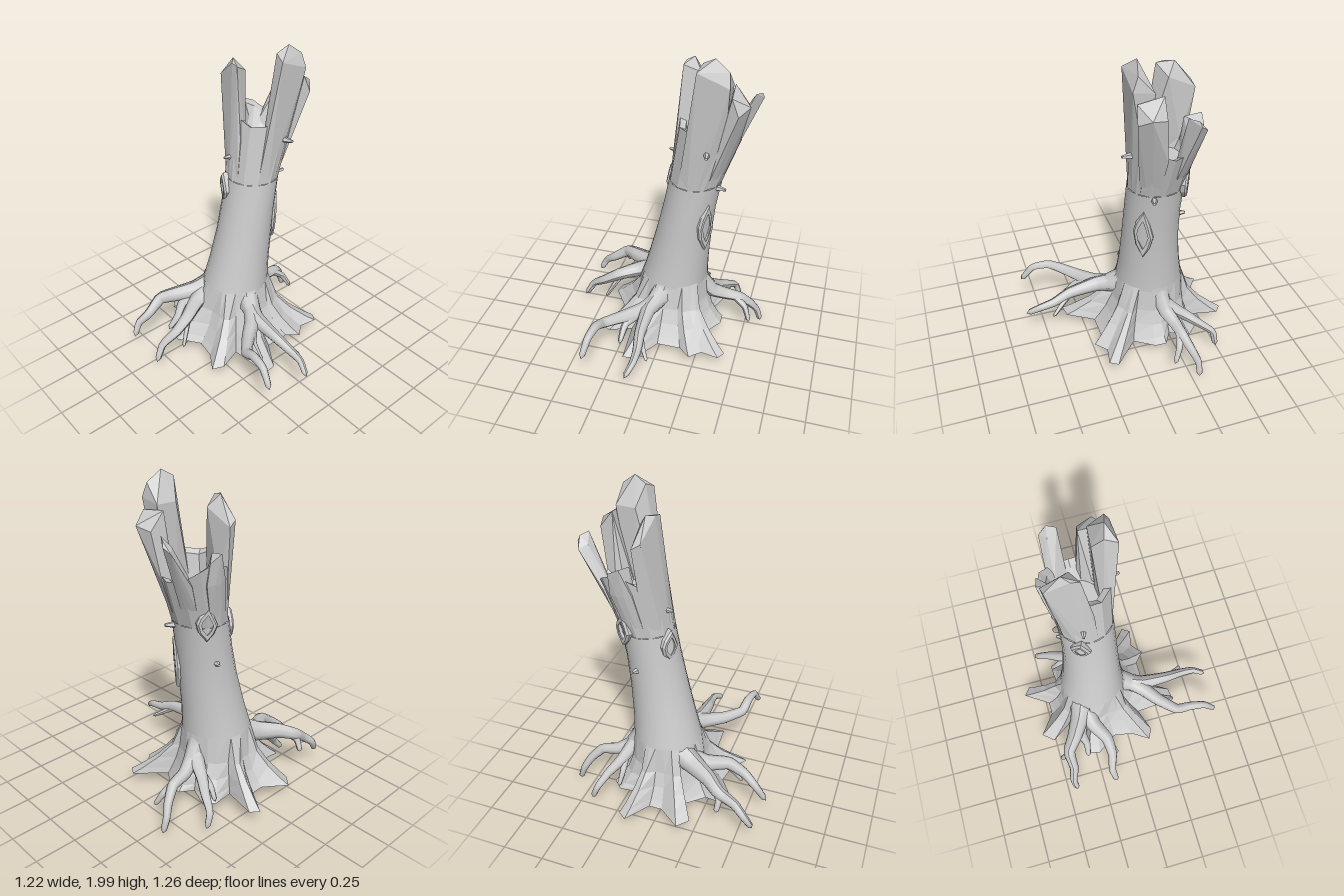
import * as THREE from 'three';
import { ConvexGeometry } from 'three/addons/geometries/ConvexGeometry.js';

const smooth = new THREE.MeshStandardMaterial({ color: 0xcccccc, side: THREE.DoubleSide });
const faceted = new THREE.MeshStandardMaterial({ color: 0xcccccc, side: THREE.DoubleSide, flatShading: true });
const V = (x, y, z) => new THREE.Vector3(x, y, z);

// Trunk outline by height: y, left x, right x, front z, back z
const TRUNK = [
  [0.1, -0.2, 0.25, 0.09, -0.38], [0.45, -0.175, 0.245, 0.05, -0.365], [0.6, -0.13, 0.25, 0.037, -0.335],
  [0.8, -0.078, 0.265, 0.032, -0.312], [1.0, -0.033, 0.285, 0.028, -0.305], [1.18, 0, 0.315, 0.025, -0.31],
  [1.45, 0.035, 0.41, 0.038, -0.355], [1.62, 0.06, 0.45, 0.05, -0.37],
];

// Point on the trunk surface at a height and angle (0 = +x, 90 degrees = +z)
function trunkAt(y, angle, scale = 1) {
  let i = 0;
  while (i < TRUNK.length - 2 && y > TRUNK[i + 1][0]) i++;
  const [p, q] = [TRUNK[i], TRUNK[i + 1]];
  const t = (y - p[0]) / (q[0] - p[0]);
  const [, x0, x1, z0, z1] = p.map((v, k) => v + (q[k] - v) * t);
  return V((x0 + x1) / 2 + Math.cos(angle) * scale * (x1 - x0) / 2, y,
    (z0 + z1) / 2 + Math.sin(angle) * scale * (z0 - z1) / 2);
}

// Skin a stack of equal rings, optionally closing the top
function loft(name, rings, material, capTop) {
  const n = rings[0].length, pts = rings.flat(), index = [];
  for (let r = 0; r < rings.length - 1; r++) {
    for (let j = 0; j < n; j++) {
      const a = r * n + j, b = r * n + (j + 1) % n;
      index.push(a, a + n, b, b, a + n, b + n);
    }
  }
  if (capTop) {
    const c = pts.length, start = c - n;
    pts.push(rings.at(-1).reduce((s, p) => s.add(p), V(0, 0, 0)).divideScalar(n));
    for (let j = 0; j < n; j++) index.push(c, start + (j + 1) % n, start + j);
  }
  const g = new THREE.BufferGeometry().setFromPoints(pts);
  g.setIndex(index);
  g.computeVertexNormals();
  const mesh = new THREE.Mesh(g, material);
  mesh.name = name;
  return mesh;
}

// Tapering, gnarled limb through a few points
function limb(name, points, r0, r1) {
  const curve = new THREE.CatmullRomCurve3(points.map(p => V(...p)), false, 'catmullrom', 0.2);
  const seg = points.length * 4, sides = 8;
  const g = new THREE.TubeGeometry(curve, seg, 1, sides);
  const pos = g.attributes.position, v = V(0, 0, 0);
  for (let i = 0; i <= seg; i++) {
    const c = curve.getPointAt(i / seg);
    const r = i === seg ? 0.001 : r0 + (r1 - r0) * Math.pow(i / seg, 0.6);
    for (let j = 0; j <= sides; j++) {
      const k = i * (sides + 1) + j;
      v.fromBufferAttribute(pos, k).sub(c).multiplyScalar(r).add(c);
      pos.setXYZ(k, v.x, v.y, v.z);
    }
  }
  g.computeVertexNormals();
  const mesh = new THREE.Mesh(g, smooth);
  mesh.name = name;
  return mesh;
}

// Jagged shard rising from a sector of the trunk wall (degrees)
function splinter(name, from, to, baseY, tops) {
  const pts = tops.map(p => V(...p));
  for (let i = 0; i <= 3; i++) {
    const a = THREE.MathUtils.degToRad(from + (to - from) * i / 3);
    pts.push(trunkAt(baseY, a, 0.98), trunkAt(baseY, a, 0.7), trunkAt(1.45, a, 1), trunkAt(1.45, a, 0.72));
  }
  const mesh = new THREE.Mesh(new ConvexGeometry(pts), faceted);
  mesh.name = name;
  return mesh;
}

// Almond-shaped knot hole with a raised rim
function knot(y, degrees, w, h) {
  const outline = k => [[0.1, 1], [0.6, 0.45], [1, -0.1], [0.6, -0.6], [0, -1], [-0.75, -0.45], [-1, 0.1], [-0.7, 0.5]]
    .map(([x, yy]) => new THREE.Vector2(x * w * k, yy * h * k));
  const shape = new THREE.Shape(outline(0.9));
  shape.holes.push(new THREE.Path(outline(0.6)));
  const g = new THREE.ExtrudeGeometry(shape, {
    depth: 0.025, bevelEnabled: true, bevelSize: 0.01, bevelThickness: 0.012, bevelSegments: 1,
  });
  const mesh = new THREE.Mesh(g, faceted);
  const a = THREE.MathUtils.degToRad(degrees);
  mesh.position.copy(trunkAt(y, a, 0.87));
  mesh.lookAt(mesh.position.clone().add(V(Math.cos(a), -0.05, Math.sin(a))));
  mesh.name = 'knotHole';
  return mesh;
}

// Small broken twig stub
function twig(y, degrees, length, r) {
  const a = THREE.MathUtils.degToRad(degrees);
  const mesh = new THREE.Mesh(new THREE.CylinderGeometry(r * 0.4, r, length, 5), faceted);
  const dir = V(Math.cos(a), 0.1, Math.sin(a)).normalize();
  mesh.quaternion.setFromUnitVectors(V(0, 1, 0), dir);
  mesh.position.copy(trunkAt(y, a)).addScaledVector(dir, length * 0.25);
  mesh.name = 'twig';
  return mesh;
}

export function createModel() {
  const model = new THREE.Group();
  const turn = (n, f) => Array.from({ length: n }, (_, j) => f(j * Math.PI * 2 / n, j));

  // Smooth leaning trunk
  model.add(loft('trunk', [0.44, 0.6, 0.8, 1.0, 1.18].map(y => turn(24, a => trunkAt(y, a))), smooth, false));

  // Broken hollow top with an uneven rim
  const rim = [1.46, 1.5, 1.5, 1.55, 1.55, 1.54, 1.58, 1.56, 1.52, 1.58, 1.54, 1.48];
  model.add(loft('brokenTop', [
    turn(12, a => trunkAt(1.18, a)),
    turn(12, (a, j) => trunkAt(rim[j], a)),
    turn(12, (a, j) => trunkAt(rim[j] - 0.02, a, 0.8)),
    turn(12, a => trunkAt(1.38, a, 0.6)),
  ], faceted, true));

  // Tall shards around the rim
  model.add(
    splinter('frontSplinter', 50, 120, 1.2, [[0.19, 1.93, 0.07], [0.21, 1.96, 0.0], [0.28, 2, 0.02],
      [0.36, 1.94, 0.04], [0.37, 1.86, 0.07], [0.37, 1.84, -0.05], [0.25, 1.84, -0.06]]),
    splinter('frontSideSplinter', 12, 55, 1.25, [[0.37, 1.82, -0.1], [0.38, 1.8, 0.05],
      [0.475, 1.74, 0], [0.45, 1.72, -0.09], [0.42, 1.7, 0.06]]),
    splinter('leftSplinter', 165, 240, 1.22, [[0.065, 1.87, -0.16], [0.07, 1.88, -0.21], [0.11, 1.89, -0.25],
      [0.1, 1.77, -0.35], [0.16, 1.82, -0.2], [0.15, 1.74, -0.36]]),
    splinter('backSplinter', 250, 292, 1.25, [[0.2, 1.6, -0.28], [0.22, 1.62, -0.375], [0.29, 1.58, -0.36]]),
    splinter('sideSplinter', 315, 345, 1.3, [[0.47, 1.73, -0.19], [0.5, 1.72, -0.24], [0.51, 1.69, -0.25],
      [0.49, 1.66, -0.29], [0.45, 1.68, -0.25]]),
  );

  // Star-shaped root flare on the ground, open underneath
  const outline = [[0.44, 0.17], [0.41, 0.22], [0.3, 0.2], [0.23, 0.26], [0.16, 0.2], [0.01, 0.2], [-0.09, 0.36],
    [-0.17, 0.37], [-0.19, 0.11], [-0.33, 0.16], [-0.4, 0.13], [-0.33, 0.02], [-0.31, -0.1], [-0.4, -0.23], [-0.38, -0.3],
    [-0.26, -0.29], [-0.15, -0.39], [-0.23, -0.51], [-0.17, -0.58], [-0.04, -0.48], [0.04, -0.48], [0.14, -0.63],
    [0.19, -0.59], [0.15, -0.39], [0.27, -0.4], [0.33, -0.34], [0.28, -0.22], [0.36, -0.17], [0.36, -0.1], [0.28, 0.02]];
  const flare = [0, 0.1, 0.3, 0.55, 1].map(s => outline.map(([x, z]) => {
    const p = trunkAt(0.1 + 0.36 * s, Math.atan2(z + 0.155, x - 0.035), 1.005);
    const power = Math.hypot(x - 0.035, z + 0.155) > 0.4 ? 2.2 : 3;
    return p.lerp(V(x, p.y, z), Math.pow(1 - s, power));
  }));
  model.add(loft('rootFlare', flare, faceted, false));

  // Clawing roots: points, start radius, end radius
  const clumps = {
    frontRoot: [
      [[[0, 0.4, 0], [-0.04, 0.35, 0.09], [-0.1, 0.33, 0.16], [-0.2, 0.32, 0.24], [-0.3, 0.33, 0.34], [-0.315, 0.37, 0.42],
        [-0.33, 0.36, 0.52], [-0.35, 0.26, 0.6]], 0.075, 0.017],
      [[[-0.02, 0.36, 0.04], [-0.06, 0.34, 0.16], [-0.06, 0.31, 0.34], [-0.045, 0.27, 0.45], [-0.045, 0.25, 0.54], [-0.075, 0.2, 0.625]], 0.07, 0.017],
      [[[-0.1, 0.33, 0.16], [-0.18, 0.28, 0.26], [-0.19, 0.2, 0.36]], 0.045, 0.014],
      [[[-0.06, 0.3, 0.34], [-0.02, 0.25, 0.41], [0.02, 0.21, 0.47]], 0.024, 0.01],
    ],
    leftRoot: [
      [[[-0.06, 0.4, -0.25], [-0.18, 0.36, -0.3], [-0.3, 0.34, -0.37], [-0.38, 0.31, -0.43], [-0.48, 0.24, -0.425], [-0.55, 0.18, -0.45], [-0.595, 0.1, -0.435]], 0.09, 0.017],
      [[[-0.1, 0.37, -0.26], [-0.24, 0.33, -0.23], [-0.36, 0.31, -0.165], [-0.46, 0.25, -0.155], [-0.55, 0.18, -0.18], [-0.61, 0.08, -0.165]], 0.075, 0.017],
      [[[-0.18, 0.35, -0.29], [-0.28, 0.29, -0.32], [-0.34, 0.22, -0.3], [-0.41, 0.14, -0.31]], 0.055, 0.015],
      [[[-0.36, 0.31, -0.41], [-0.39, 0.27, -0.45], [-0.385, 0.2, -0.485]], 0.03, 0.015],
      [[[-0.34, 0.31, -0.18], [-0.39, 0.23, -0.14], [-0.44, 0.14, -0.11]], 0.024, 0.01],
    ],
    rightRoot: [
      [[[0.2, 0.4, -0.17], [0.28, 0.3, -0.19], [0.36, 0.26, -0.22], [0.46, 0.24, -0.235], [0.53, 0.17, -0.27], [0.57, 0.1, -0.3], [0.6, 0.01, -0.3]], 0.065, 0.017],
      [[[0.25, 0.32, -0.2], [0.3, 0.25, -0.31], [0.35, 0.2, -0.39], [0.39, 0.14, -0.47], [0.425, 0.05, -0.48]], 0.055, 0.016],
      [[[0.42, 0.25, -0.23], [0.5, 0.19, -0.2], [0.54, 0.1, -0.16]], 0.032, 0.014],
      [[[0.28, 0.26, -0.28], [0.27, 0.2, -0.35], [0.28, 0.12, -0.4]], 0.03, 0.012],
    ],
  };
  for (const [name, limbs] of Object.entries(clumps)) {
    const group = new THREE.Group();
    group.name = name;
    limbs.forEach(args => group.add(limb(name + 'Limb', ...args)));
    model.add(group);
  }

  // Knot holes and twig stubs
  model.add(knot(0.9, 35, 0.055, 0.175), knot(1.21, 300, 0.055, 0.1), knot(1.11, 205, 0.055, 0.1));
  model.add(twig(1.44, 80, 0.08, 0.022), twig(1.16, 20, 0.07, 0.022), twig(1.32, 190, 0.05, 0.018),
    twig(0.95, 290, 0.04, 0.02));
  return model;
}
